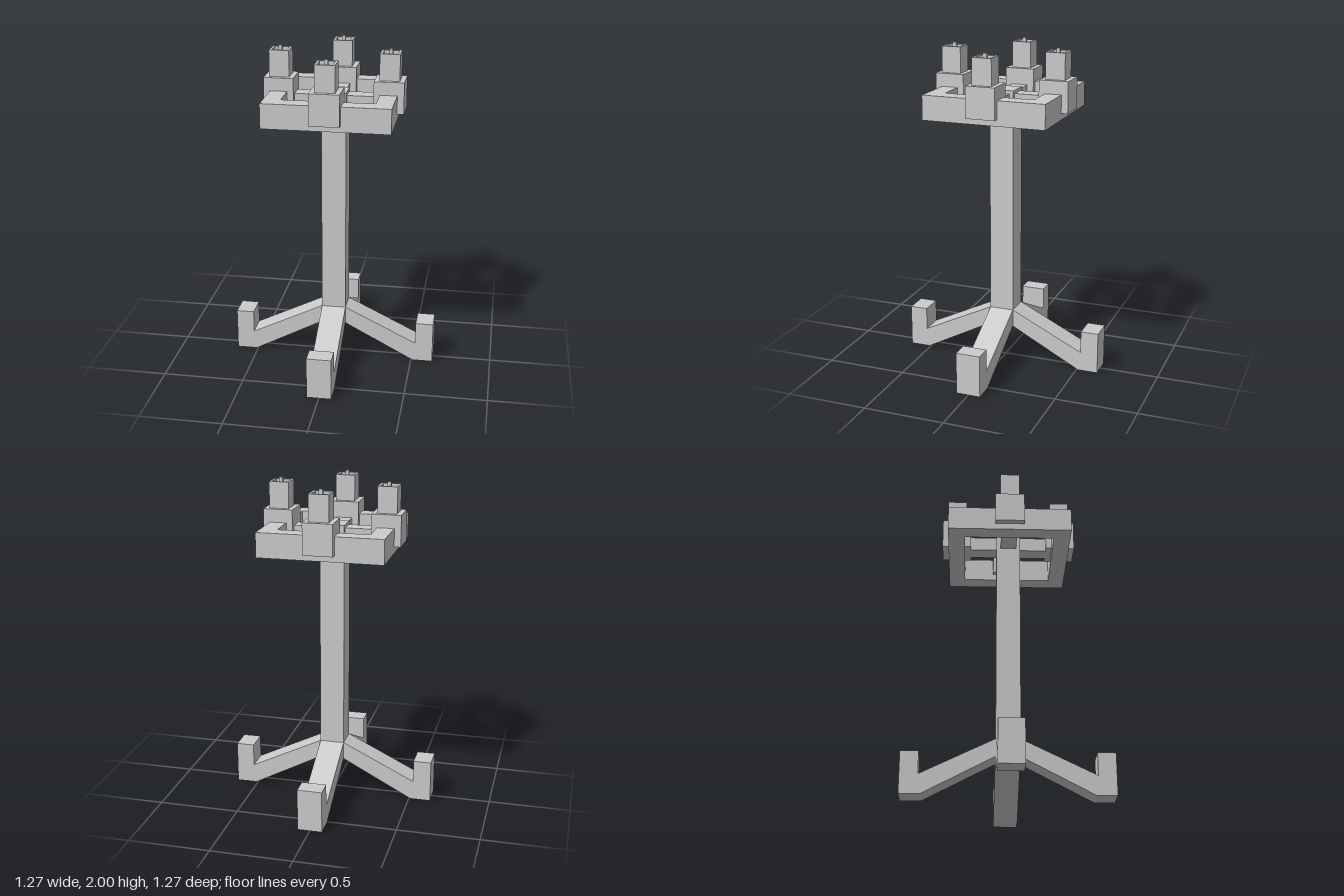
import * as THREE from 'three';

const material = new THREE.MeshStandardMaterial({ color: 0xcccccc, flatShading: true });

function add(parent, name, geometry) {
  const mesh = new THREE.Mesh(geometry, material);
  mesh.name = name;
  parent.add(mesh);
  return mesh;
}

// Box of half-width w between two heights
function block(parent, name, w, y0, y1) {
  const geometry = new THREE.BoxGeometry(2 * w, y1 - y0, 2 * w);
  geometry.translate(0, (y0 + y1) / 2, 0);
  return add(parent, name, geometry);
}

// Upright square tube between two heights
function squareRing(parent, name, outer, inner, y0, y1) {
  const square = (Type, r) => new Type([[-r, -r], [r, -r], [r, r], [-r, r]].map(p => new THREE.Vector2(...p)));
  const shape = square(THREE.Shape, outer);
  shape.holes.push(square(THREE.Path, inner));
  const geometry = new THREE.ExtrudeGeometry(shape, { depth: y1 - y0, bevelEnabled: false });
  geometry.rotateX(-Math.PI / 2).translate(0, y0, 0);
  return add(parent, name, geometry);
}

// Sloping leg with an upturned foot, extruded across its width
function legGeometry() {
  const profile = [
    [0.075, 0.23], [0.51, 0], [0.635, 0], [0.635, 0.26],
    [0.525, 0.26], [0.525, 0.12], [0.075, 0.34],
  ].map(p => new THREE.Vector2(...p));
  const geometry = new THREE.ExtrudeGeometry(new THREE.Shape(profile), { depth: 0.15, bevelEnabled: false });
  return geometry.translate(0, 0, -0.075);
}

// Candle cup, hollow-topped candle and wick
function createCandle() {
  const candle = new THREE.Group();
  candle.name = 'candleHolder';
  block(candle, 'cup', 0.09, 1.63, 1.82);
  block(candle, 'candle', 0.06, 1.82, 1.94);
  squareRing(candle, 'candleRim', 0.06, 0.045, 1.94, 1.98);
  block(candle, 'wick', 0.011, 1.94, 2);
  return candle;
}

export function createModel() {
  const model = new THREE.Group();
  model.name = 'candleStand';

  block(model, 'column', 0.075, 0.23, 1.74);
  squareRing(model, 'topFrame', 0.38, 0.277, 1.59, 1.74);

  // Four identical sides: leg, cross arm and candle
  for (let i = 0; i < 4; i++) {
    const side = new THREE.Group();
    side.name = 'side' + (i + 1);
    side.rotation.y = i * Math.PI / 2;
    add(side, 'leg', legGeometry());
    add(side, 'crossArm', new THREE.BoxGeometry(0.2, 0.09, 0.1)).position.set(0.165, 1.675, 0);
    const candle = createCandle();
    candle.position.x = 0.33;
    side.add(candle);
    model.add(side);
  }
  return model;
}
